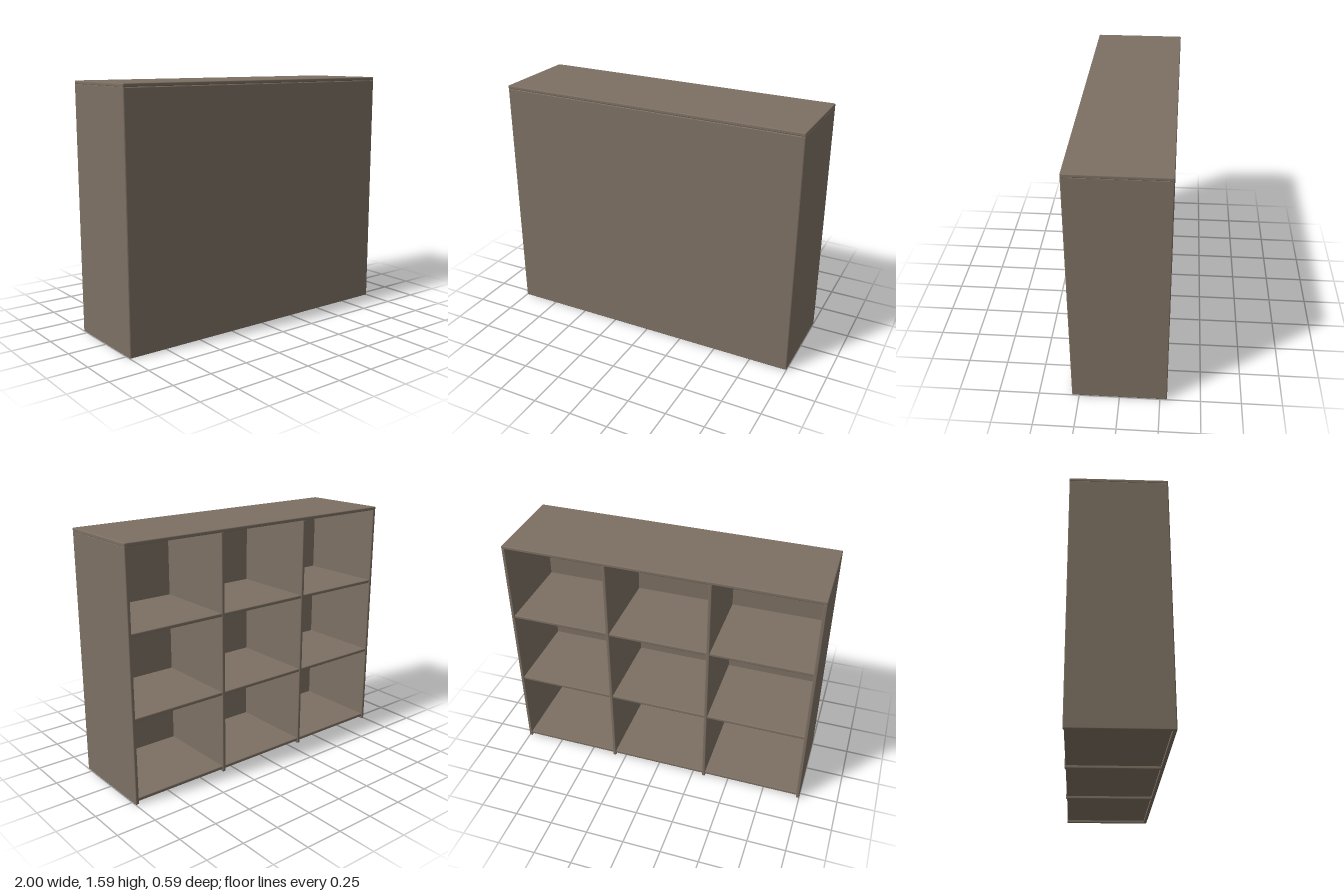
import * as THREE from 'three';
import { RoundedBoxGeometry } from 'three/addons/geometries/RoundedBoxGeometry.js';

const W = 2, H = 1.59, D = 0.59; // overall size
const T = 0.022;                 // board thickness
const BEVEL = 0.006;
const COLS = 3, ROWS = 3;

export function createModel() {
  const group = new THREE.Group();
  group.name = 'cubbyShelf';
  const wood = new THREE.MeshStandardMaterial({ color: 0x7d7063 });

  // one board with softened edges
  const board = (name, w, h, d, x, y, z) => {
    const mesh = new THREE.Mesh(new RoundedBoxGeometry(w, h, d, 2, BEVEL), wood);
    mesh.name = name;
    mesh.position.set(x, y, z);
    group.add(mesh);
  };

  // top board covers the uprights and the closed front
  board('topBoard', W, T, D, 0, H - T / 2, 0);
  const innerH = H - T;
  board('frontPanel', W - 0.004, innerH, T, 0, innerH / 2, D / 2 - T / 2);

  // sides and dividers reach the floor
  const pitchX = (W - T) / COLS;
  for (let i = 0; i <= COLS; i++) {
    const side = i === 0 || i === COLS;
    board(side ? 'sidePanel' : 'divider', T, innerH + 0.004, D - 0.002,
      -W / 2 + T / 2 + i * pitchX, innerH / 2 + 0.002, 0);
  }

  // shelves between the uprights, the lowest raised just off the floor
  const lowest = 0.029;
  const pitchY = (H - T / 2 - lowest) / ROWS;
  for (let r = 0; r < ROWS; r++) {
    for (let c = 0; c < COLS; c++) {
      board('shelf', pitchX - T + 0.012, T, D - 0.012,
        -W / 2 + T / 2 + (c + 0.5) * pitchX, lowest + r * pitchY, 0);
    }
  }
  return group;
}
